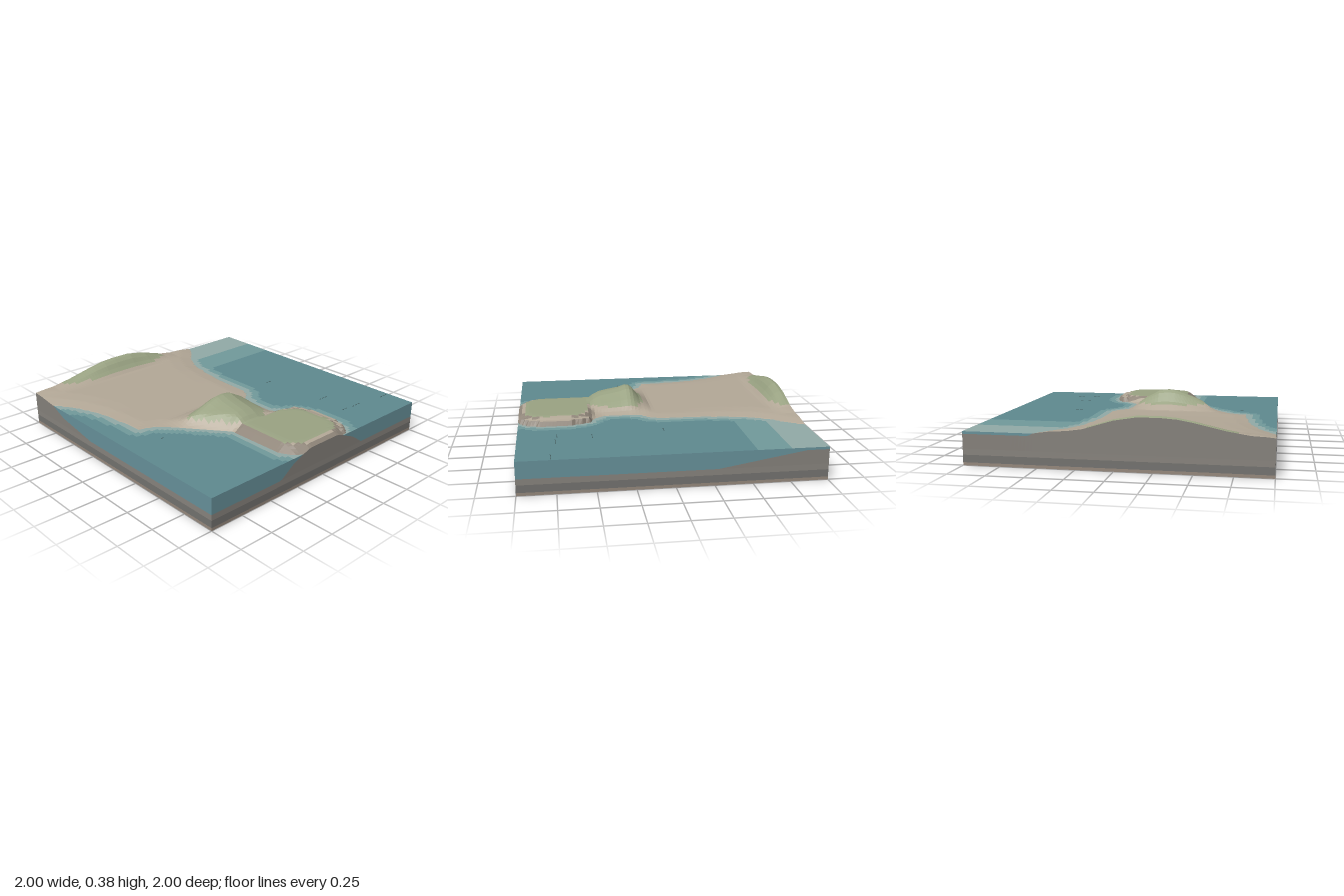
import * as THREE from 'three';

const WATER = 0.225, FLOOR = 0.11, CELLS = 80;
const clamp = (v) => Math.min(1, Math.max(0, v));
const smooth = (a, b, v) => THREE.MathUtils.smoothstep(v, a, b);

// Piecewise linear profile through [position, value] pairs
function profile(points, v) {
  if (v <= points[0][0]) return points[0][1];
  for (let i = 1; i < points.length; i++) {
    const [a, p] = points[i - 1], [b, q] = points[i];
    if (v <= b) return p + (q - p) * (v - a) / (b - a);
  }
  return points[points.length - 1][1];
}

// Shoreline as [x, z], down the left coast and back up the right one
const shore = [
  [-1.6, -1.5], [-1.1, -0.88], [-1, -0.75], [-0.9, -0.59], [-0.83, -0.4], [-0.8, -0.2], [-0.78, 0],
  [-0.65, 0.05], [-0.52, 0.2], [-0.4, 0.35], [-0.32, 0.45], [-0.31, 0.88], [-0.26, 0.97], [-0.15, 1.03],
  [0.15, 1.03], [0.26, 0.96], [0.31, 0.85], [0.3, 0.6], [0.25, 0.5], [0.17, 0.45], [0.12, 0.39],
  [0.12, 0.2], [0.14, 0.12], [0.21, 0.06], [0.23, 0], [0.25, -0.4], [0.3, -0.65], [0.38, -0.8],
  [0.47, -0.9], [0.53, -1], [0.8, -1.5],
];

// Distance to the shoreline: positive on land, negative at sea
function shoreDistance(x, z) {
  let best = Infinity, inside = false;
  shore.forEach(([ax, az], i) => {
    const [bx, bz] = shore[(i + 1) % shore.length];
    const dx = bx - ax, dz = bz - az;
    const t = clamp(((x - ax) * dx + (z - az) * dz) / (dx * dx + dz * dz));
    best = Math.min(best, Math.hypot(x - ax - t * dx, z - az - t * dz));
    if ((az > z) !== (bz > z) && x < ax + dx * (z - az) / dz) inside = !inside;
  });
  return inside ? best : -best;
}

const hillX = [[-0.6, 0], [-0.45, 0.38], [-0.3, 0.8], [-0.23, 0.96], [-0.17, 1], [-0.1, 0.93], [0, 0.55], [0.08, 0.17], [0.16, 0]];
const hillZ = [[0.02, 0], [0.07, 0.25], [0.1, 0.4], [0.16, 0.93], [0.19, 1], [0.25, 0.85], [0.4, 0.64], [0.46, 0.42], [0.52, 0]];
const ridgeX = [[-1, 0.02], [-0.85, 0.08], [-0.7, 0.32], [-0.5, 0.76], [-0.4, 0.93], [-0.3, 1], [-0.15, 1], [0, 0.75], [0.1, 0.45], [0.2, 0.15], [0.3, 0]];
const ridgeZ = [[-1, 0.9], [-0.965, 1], [-0.93, 0.8], [-0.89, 0.35], [-0.85, 0.05], [-0.82, 0]];

function height(x, z) {
  const d = shoreDistance(x, z);
  if (d < 0) {
    // Sea bed, shelving up towards the back
    const bed = FLOOR + 0.098 * clamp((-0.27 - z) / 0.58);
    return Math.max(bed, WATER + d * 0.8);
  }
  const plain = WATER + 0.01 * clamp(d / 0.1) + 0.014 * clamp(d / 0.2) * clamp((-0.2 - z) / 0.6);
  const hill = 0.145 * profile(hillX, x) * profile(hillZ, z) * clamp(d / 0.07);
  const terrace = 0.031 * smooth(-0.46, -0.32, x) * smooth(0.2, 0.04, x)
    * smooth(-0.2, -0.1, z) * smooth(0.16, 0.08, z);
  const plateau = 0.041 * smooth(0.43, 0.5, z) * clamp(d / 0.06);
  const ridge = 0.112 * profile(ridgeX, x) * profile(ridgeZ, z);
  return plain + Math.max(hill, terrace, plateau) + ridge;
}

// Quads gathered by name, one flat shaded mesh for each
function quadBins() {
  const bins = {};
  return {
    add(name, a, b, c, d) { (bins[name] ??= []).push(...a, ...b, ...c, ...a, ...c, ...d); },
    addTo(group, colors) {
      for (const [name, positions] of Object.entries(bins)) {
        const geo = new THREE.BufferGeometry();
        geo.setAttribute('position', new THREE.Float32BufferAttribute(positions, 3));
        geo.computeVertexNormals();
        const mesh = new THREE.Mesh(geo, new THREE.MeshStandardMaterial({ color: colors[name], flatShading: true }));
        mesh.name = name;
        group.add(mesh);
      }
    },
  };
}

const colors = {
  sand: 0xb3a897, grass: 0x9aa383, rock: 0x90867a,
  shallowWater: 0x92aaa7, middleWater: 0x719a9b, deepWater: 0x5f8a90,
  earthWall: 0x85817b, waterWall: 0x67919a,
};

export function createModel() {
  const model = new THREE.Group();
  model.name = 'coastTile';

  // Strata below the sea bed
  [['bedrock', 0, 0.02, 0x95887c], ['darkStratum', 0.02, 0.07, 0x73726f], ['paleStratum', 0.07, FLOOR, 0x87837d]]
    .forEach(([name, y0, y1, color]) => {
      const slab = new THREE.Mesh(new THREE.BoxGeometry(2, y1 - y0, 2), new THREE.MeshStandardMaterial({ color }));
      slab.position.y = (y0 + y1) / 2;
      slab.name = name;
      model.add(slab);
    });

  const at = (i) => -1 + 2 * i / CELLS;
  const grid = [];
  for (let i = 0; i <= CELLS; i++) {
    grid.push([]);
    for (let j = 0; j <= CELLS; j++) grid[i].push(height(at(i), at(j)));
  }

  // Land and sea surface
  const bins = quadBins();
  for (let i = 0; i < CELLS; i++) {
    for (let j = 0; j < CELLS; j++) {
      const corners = [[i, j], [i, j + 1], [i + 1, j + 1], [i + 1, j]];
      const hs = corners.map(([a, b]) => grid[a][b]);
      const mean = (hs[0] + hs[1] + hs[2] + hs[3]) / 4;
      const low = Math.min(...hs), high = Math.max(...hs);
      if (high > WATER - 0.02) {
        const onPlateau = at(j) > 0.46;
        const land = mean > 0.272 ? 'grass' : onPlateau && high - low > 0.012 ? 'rock' : 'sand';
        bins.add(land, ...corners.map(([a, b], k) => [at(a), hs[k], at(b)]));
      }
      if (low < WATER) {
        const sea = mean > 0.193 ? 'shallowWater' : mean > 0.155 ? 'middleWater' : 'deepWater';
        bins.add(sea, ...corners.map(([a, b]) => [at(a), WATER, at(b)]));
      }
    }
  }

  // Cut sides: earth up to the ground, water above it
  const sides = [
    (k) => [k, CELLS], (k) => [CELLS, CELLS - k], (k) => [CELLS - k, 0], (k) => [0, k],
  ];
  for (const side of sides) {
    for (let k = 0; k < CELLS; k++) {
      const [i, j] = side(k), [m, n] = side(k + 1);
      const p = (y) => [at(i), y, at(j)], q = (y) => [at(m), y, at(n)];
      const h0 = grid[i][j], h1 = grid[m][n];
      bins.add('earthWall', p(FLOOR), q(FLOOR), q(h1), p(h0));
      if (Math.min(h0, h1) < WATER) {
        bins.add('waterWall', p(Math.min(h0, WATER)), q(Math.min(h1, WATER)), q(WATER), p(WATER));
      }
    }
  }
  bins.addTo(model, colors);

  // Small ripples on the sea
  const rippleGeo = new THREE.BoxGeometry(0.022, 0.002, 0.005);
  const rippleMat = new THREE.MeshStandardMaterial({ color: 0x4a6668 });
  [[0.49, 0.005, 2], [0.57, 0.5, 3], [0.535, 0.735, 2], [0.655, 0.745, 3], [0.945, 0.78, 3], [-0.735, 0.205, 1]]
    .forEach(([x, z, count]) => {
      for (let k = 0; k < count; k++) {
        const ripple = new THREE.Mesh(rippleGeo, rippleMat);
        ripple.position.set(x + (k - (count - 1) / 2) * 0.032, WATER + 0.001, z);
        ripple.rotation.y = 0.15;
        ripple.name = 'ripple';
        model.add(ripple);
      }
    });

  return model;
}
